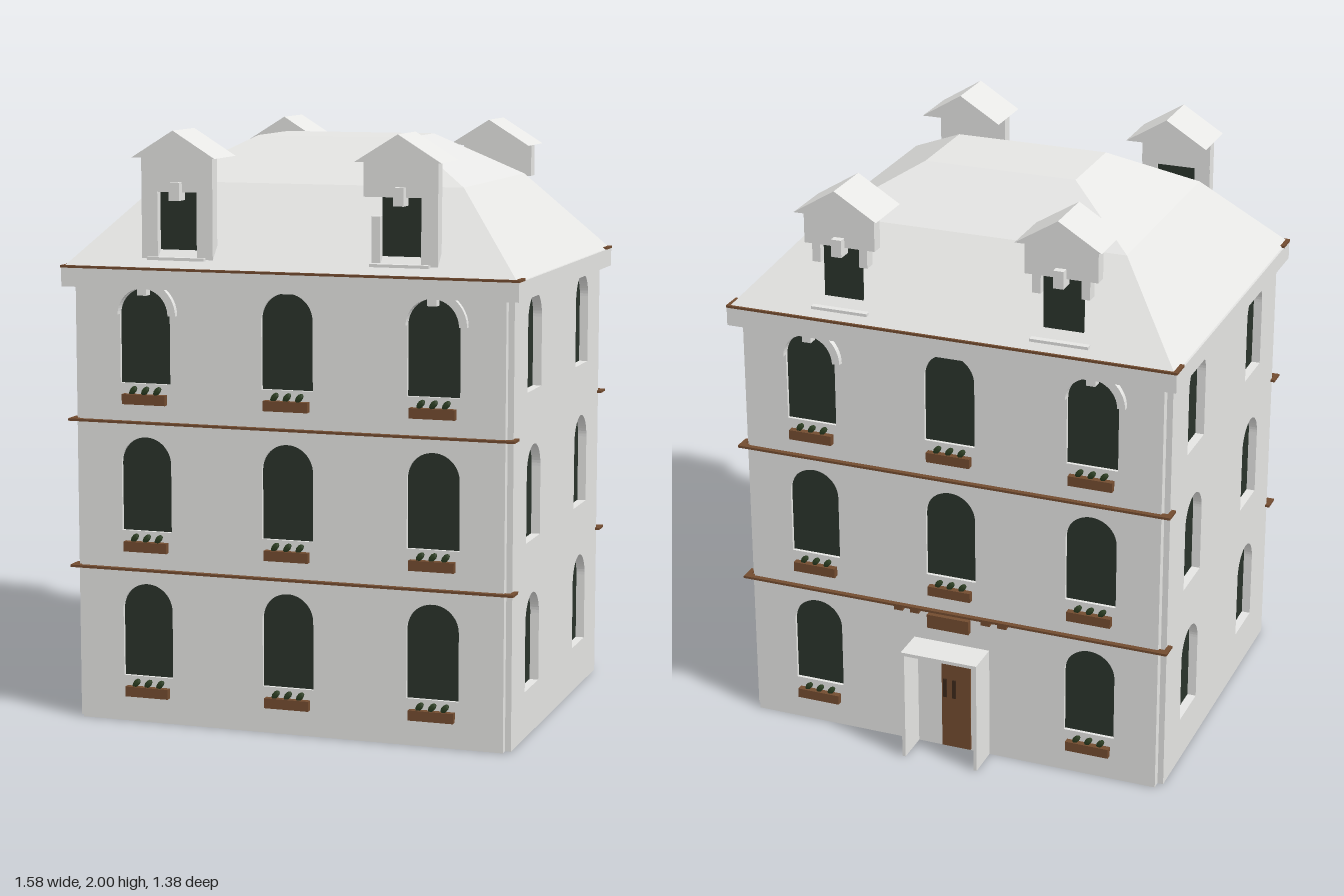
import * as THREE from 'three';

const mat = (name, color) => {
  const m = new THREE.MeshStandardMaterial({ color });
  m.name = name;
  return m;
};

export function createModel() {
  const stone = mat('pale stone', 0xe6e6e4);
  const glass = mat('dark green glass', 0x2a332b);
  const wood = mat('brown wood', 0x734c30);
  const leaf = mat('leaf green', 0x2d4023);
  const darkWood = mat('dark wood', 0x3c281a);

  const house = new THREE.Group();
  house.name = 'house';

  const add = (parent, name, geometry, material) => {
    const mesh = new THREE.Mesh(geometry, material);
    mesh.name = name;
    parent.add(mesh);
    return mesh;
  };
  // Box given by its limits on each axis
  const box = (parent, name, material, x0, x1, y0, y1, z0, z1) => {
    const mesh = add(parent, name, new THREE.BoxGeometry(x1 - x0, y1 - y0, z1 - z0), material);
    mesh.position.set((x0 + x1) / 2, (y0 + y1) / 2, (z0 + z1) / 2);
    return mesh;
  };
  const extrude = (shape, depth) =>
    new THREE.ExtrudeGeometry(shape, { depth, bevelEnabled: false, curveSegments: 14 });

  // Round-topped window outline
  const R = 0.089;
  const arched = (target, x, y) => {
    target.moveTo(x - R, y);
    target.lineTo(x + R, y);
    target.lineTo(x + R, y + 0.23);
    target.absarc(x, y + 0.23, R, 0, Math.PI, false);
    target.lineTo(x - R, y);
    return target;
  };

  // Wall with its outer face at local z = 0, and glass set into the openings
  const wall = (parent, halfWidth, openings, recess) => {
    const s = new THREE.Shape();
    s.moveTo(-halfWidth, 0);
    s.lineTo(halfWidth, 0);
    s.lineTo(halfWidth, 1.5);
    s.lineTo(-halfWidth, 1.5);
    s.closePath();
    openings.forEach(([x, y]) => s.holes.push(arched(new THREE.Path(), x, y)));
    add(parent, 'wall', extrude(s, 0.085), stone).position.z = -0.085;
    openings.forEach(([x, y]) => {
      const pane = new THREE.ShapeGeometry(arched(new THREE.Shape(), x, y), 14);
      add(parent, 'windowPane', pane, glass).position.z = -recess;
    });
  };

  // Planter with three tilted leaves
  const flowerBox = (parent, x, y) => {
    box(parent, 'flowerBox', wood, x - 0.077, x + 0.077, y - 0.069, y - 0.035, 0, 0.022);
    for (const dx of [-0.04, 0.003, 0.046]) {
      const l = add(parent, 'plant', new THREE.SphereGeometry(1, 7, 5), leaf);
      l.scale.set(0.011, 0.019, 0.008);
      l.rotation.z = -0.7;
      l.position.set(x + dx, y - 0.023, 0.011);
    }
  };

  // Raised half-ring and keystone over a top-floor window
  const archMoulding = (parent, x) => {
    const s = new THREE.Shape();
    s.absarc(0, 0, 0.116, 0, Math.PI, false);
    s.lineTo(-R, 0);
    s.absarc(0, 0, R, Math.PI, 0, true);
    s.closePath();
    add(parent, 'archMoulding', extrude(s, 0.02), stone).position.set(x, 1.389, 0);
    box(parent, 'keystone', stone, x - 0.016, x + 0.016, 1.455, 1.5, -0.01, 0.024);
  };

  // Roof window: gable, lintel, keystone, pane, sill and jambs
  const dormer = (parent, x, jambs) => {
    const g = new THREE.Group();
    g.name = 'dormer';
    g.position.x = x;
    parent.add(g);
    const s = new THREE.Shape();
    s.moveTo(-0.146, 1.91);
    s.lineTo(0.146, 1.91);
    s.lineTo(0, 2);
    s.closePath();
    add(g, 'dormerRoof', extrude(s, 0.195), stone).position.z = -0.17;
    box(g, 'dormerLintel', stone, -0.125, 0.125, 1.797, 1.91, -0.053, -0.008);
    box(g, 'dormerKeystone', stone, -0.018, 0.018, 1.77, 1.83, -0.04, 0.018);
    box(g, 'dormerPane', glass, -0.069, 0.069, 1.6, 1.797, -0.041, -0.035);
    box(g, 'dormerSill', stone, -0.1, 0.1, 1.573, 1.583, -0.03, 0.012);
    jambs.forEach(([x0, x1, y0, y1]) =>
      box(g, 'dormerJamb', stone, x0, x1, y0, y1, -0.05, -0.008));
  };
  const leftJamb = [-0.125, -0.069, 1.57, 1.797];
  const rightJamb = [0.069, 0.125, 1.57, 1.797];
  const shortJamb = [-0.098, -0.069, 1.585, 1.735];
  const stubJambs = [[-0.098, -0.069, 1.735, 1.797], [0.069, 0.098, 1.735, 1.797]];

  // Brown string course that returns around both corners
  const band = (parent, y, half, out, back) => {
    box(parent, 'stringCourse', wood, -half, half, y - 0.004, y + 0.004, -0.01, out);
    for (const s of [-1, 1]) {
      const a = s * half, b = s * (half - 0.016);
      box(parent, 'stringCourseReturn', wood, Math.min(a, b), Math.max(a, b), y - 0.004, y + 0.004, back, out);
    }
  };

  // Front and back facades
  const floors = [0.158, 0.658, 1.158];
  const facade = (name, z, turn, hasDoor) => {
    const g = new THREE.Group();
    g.name = name;
    g.position.z = z;
    g.rotation.y = turn;
    house.add(g);
    const openings = [];
    for (const y of floors)
      for (const x of [-0.5, 0, 0.5])
        if (!(hasDoor && x === 0 && y === floors[0])) openings.push([x, y]);
    wall(g, 0.74, openings, 0.012);
    openings.forEach(([x, y]) => flowerBox(g, x, y));
    archMoulding(g, -0.5);
    archMoulding(g, 0.5);
    band(g, 0.526, 0.775, 0.018, -0.045);
    band(g, 1.027, 0.775, 0.018, -0.045);
    band(g, 1.544, 0.79, 0.03, -0.045);
    return g;
  };
  const front = facade('frontFacade', 0.657, 0, false);
  dormer(front, -0.385, [leftJamb, rightJamb]);
  dormer(front, 0.385, [shortJamb, rightJamb]);
  const back = facade('backFacade', -0.568, Math.PI, true);
  dormer(back, -0.385, stubJambs);
  dormer(back, 0.385, stubJambs);

  // Side walls
  for (const s of [-1, 1]) {
    const g = new THREE.Group();
    g.name = s > 0 ? 'leftSide' : 'rightSide';
    g.position.set(s * 0.76, 0, 0.046);
    g.rotation.y = s * Math.PI / 2;
    house.add(g);
    wall(g, 0.584, floors.flatMap(y => [[-0.325, y], [0.325, y]]), 0.03);
  }

  // Door, sign board, small brackets and open porch on the back
  box(back, 'door', wood, -0.035, 0.07, 0.005, 0.36, 0, 0.008);
  for (const x of [-0.022, 0.012])
    box(back, 'doorFitting', darkWood, x - 0.006, x + 0.006, 0.2, 0.27, 0.008, 0.014);
  box(back, 'signBoard', wood, -0.076, 0.076, 0.472, 0.522, 0.016, 0.035);
  for (const x of [-0.19, -0.13, 0.13, 0.19])
    box(back, 'bracket', wood, x - 0.016, x + 0.016, 0.508, 0.522, 0, 0.016);
  box(back, 'porchRoof', stone, -0.138, 0.138, 0.395, 0.407, 0, 0.12);
  for (const s of [-1, 1])
    box(back, 'porchWall', stone, s * 0.132 - 0.006, s * 0.132 + 0.006, 0, 0.396, 0, 0.12);

  // Ground floor slab and cornice
  box(house, 'floor', wood, -0.68, 0.68, 0.002, 0.02, -0.49, 0.58);
  box(house, 'cornice', stone, -0.788, 0.788, 1.477, 1.54, -0.597, 0.684);

  // Two-pitch hipped roof: [half width, back z, front z, height]
  const rings = [
    [0.782, -0.596, 0.682, 1.541],
    [0.53, -0.343, 0.424, 1.817],
    [0.268, -0.11, 0.19, 1.964],
  ].map(([x, zb, zf, y]) => [[x, y, zf], [x, y, zb], [-x, y, zb], [-x, y, zf]]);
  const points = [];
  const quad = (a, b, c, d) => points.push(...a, ...b, ...c, ...a, ...c, ...d);
  for (let r = 0; r < 2; r++)
    for (let i = 0; i < 4; i++) {
      const j = (i + 1) % 4;
      quad(rings[r][i], rings[r][j], rings[r + 1][j], rings[r + 1][i]);
    }
  quad(...rings[2]);
  const roof = new THREE.BufferGeometry();
  roof.setAttribute('position', new THREE.Float32BufferAttribute(points, 3));
  roof.computeVertexNormals();
  add(house, 'roof', roof, stone);

  return house;
}
